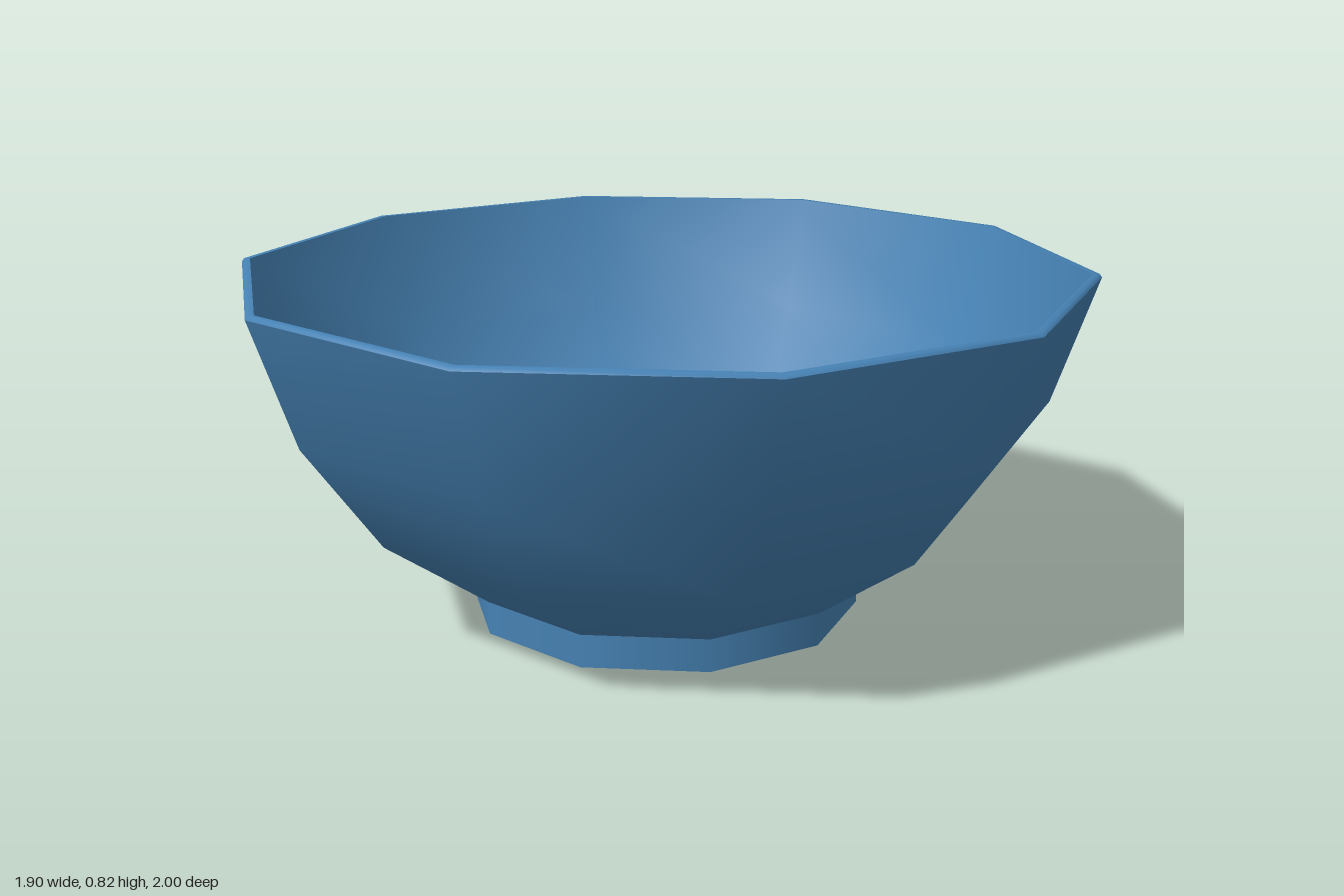
import * as THREE from 'three';

const SIDES = 10;

export function createModel() {
  const bowl = new THREE.Group();
  bowl.name = 'bowl';
  const material = new THREE.MeshStandardMaterial({ color: 0x4682b4 });

  const add = (name, geometry) => {
    const mesh = new THREE.Mesh(geometry, material);
    mesh.name = name;
    bowl.add(mesh);
    return mesh;
  };
  // Profile of [radius, height] pairs turned around y, a corner facing +z
  const turn = (name, profile) =>
    add(name, new THREE.LatheGeometry(profile.map(([r, y]) => new THREE.Vector2(r, y)), SIDES));

  // Smooth outer wall, bottom to top
  turn('outerWall', [[0.468, 0.078], [0.72, 0.26], [0.9, 0.515], [1, 0.81]]);
  // Thin lip with a slight bevel
  turn('rim', [[1, 0.81], [0.994, 0.818], [0.98, 0.818]]);
  // Inner wall, top to bottom
  turn('innerWall', [[0.98, 0.818], [0.88, 0.525], [0.704, 0.274], [0.45, 0.079]]);

  // Solid foot, whose top closes the bowl as its floor
  const foot = add('foot', new THREE.CylinderGeometry(0.468, 0.468, 0.079, SIDES));
  foot.position.y = 0.0395;

  return bowl;
}
